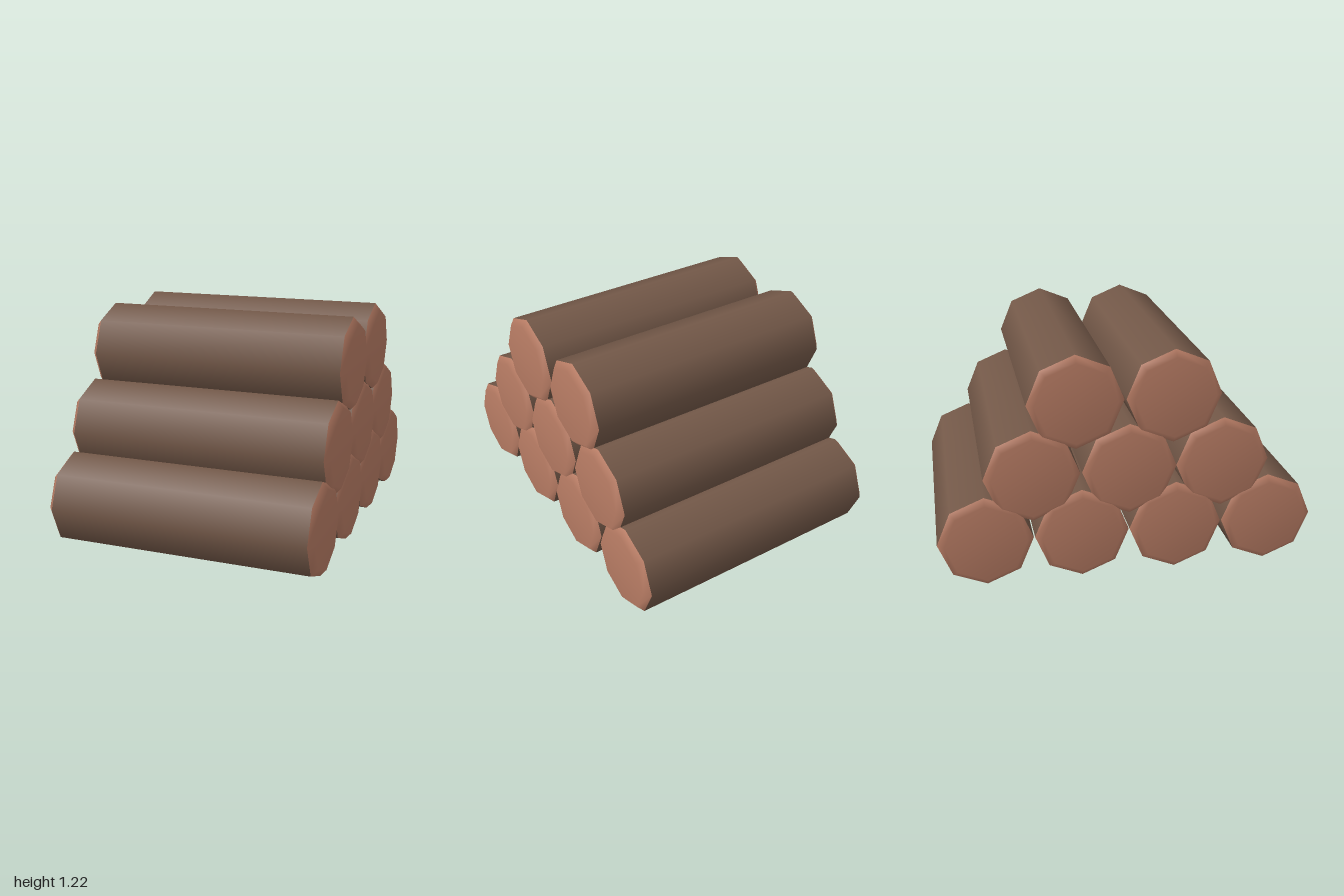
import * as THREE from 'three';

export function createModel() {
  const group = new THREE.Group();
  group.name = 'logPile';

  const bark = new THREE.MeshStandardMaterial({ color: 0x735848 });
  bark.name = 'bark';
  const cutWood = new THREE.MeshStandardMaterial({ color: 0xb87c64 });
  cutWood.name = 'cut wood';

  const R = 0.248, HALF = 0.69, END = 0.72, CUT = 0.212, SIDES = 8;
  const turned = (points) =>
    new THREE.LatheGeometry(points.map(([r, y]) => new THREE.Vector2(r, y)), SIDES).rotateZ(-Math.PI / 2);

  // Eight-sided bark tube and the two bevelled cut ends, lying along x
  const barkGeometry = turned([[R, -HALF], [R, HALF]]);
  const rightEnd = turned([[0, -END], [CUT, -END], [R, -HALF]]);
  const leftEnd = turned([[R, HALF], [CUT, END], [0, END]]);

  // Rows of the pile: centre height and log positions in z
  const rows = [
    { y: 0.25, z: [0.752, 0.25, -0.25, -0.752] },
    { y: 0.595, z: [0.495, 0, -0.505] },
    { y: 0.977, z: [0.228, -0.278] },
  ];

  for (const { y, z } of rows) {
    for (const cz of z) {
      const log = new THREE.Group();
      log.name = 'log';
      const parts = [
        ['logBark', barkGeometry, bark],
        ['logRightEnd', rightEnd, cutWood],
        ['logLeftEnd', leftEnd, cutWood],
      ];
      for (const [name, geometry, material] of parts) {
        const mesh = new THREE.Mesh(geometry, material);
        mesh.name = name;
        log.add(mesh);
      }
      log.position.set(0, y, cz);
      group.add(log);
    }
  }
  return group;
}
